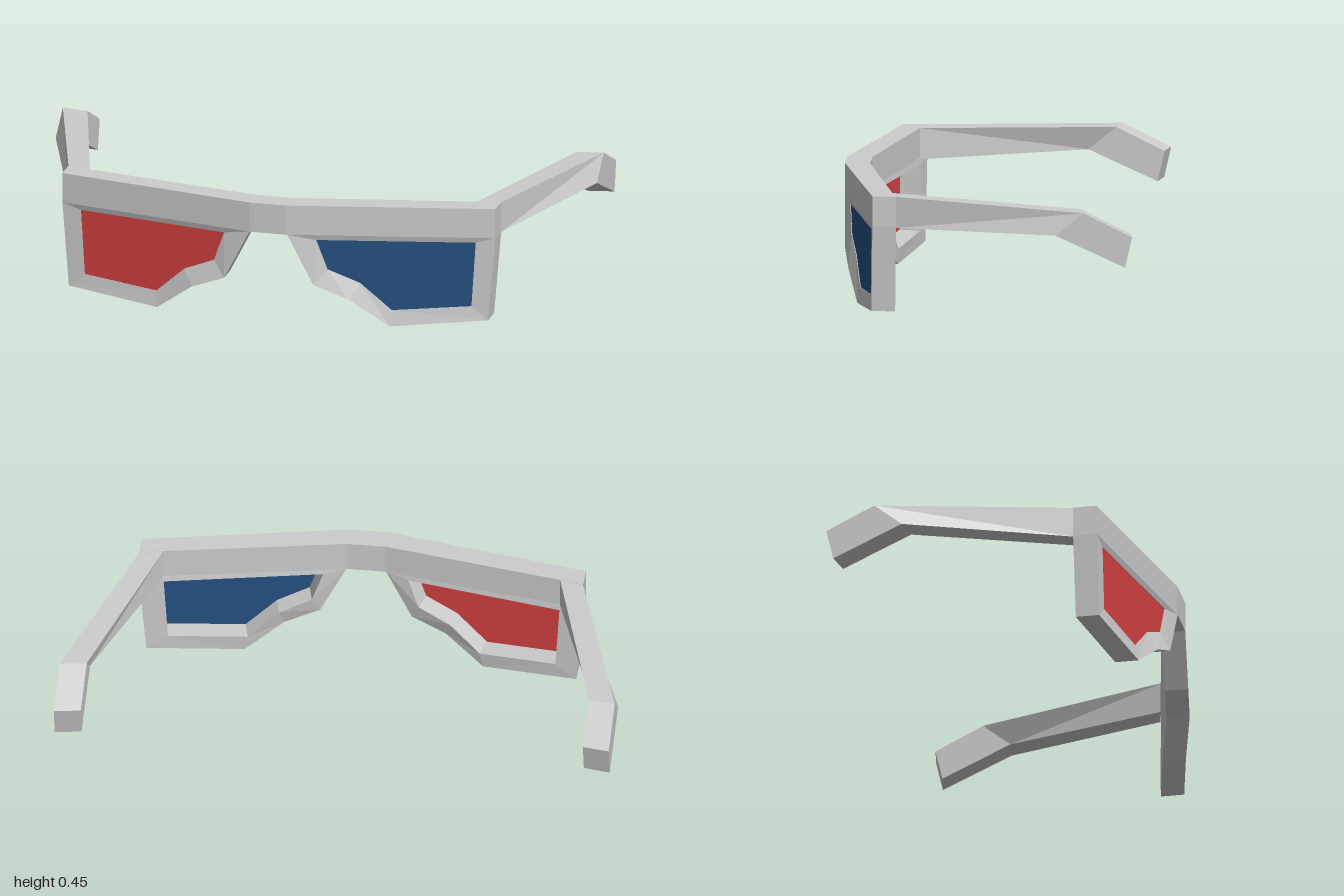
import * as THREE from 'three';

const frameMat = new THREE.MeshStandardMaterial({ color: 0xcccccc });
frameMat.name = 'light grey frame';
const redMat = new THREE.MeshStandardMaterial({ color: 0xd64242 });
redMat.name = 'red lens';
const blueMat = new THREE.MeshStandardMaterial({ color: 0x24507f });
blueMat.name = 'blue lens';
redMat.side = blueMat.side = THREE.DoubleSide;

// z of the swept-back front plane on either side of the bridge
const frontZ = x => 0.545 - (Math.abs(x) - 0.07) * 0.2055;

// Flat-faced loft through closed loops; side = -1 mirrors it to the other half
function loft(rows, side, capped) {
  const pos = [];
  const tri = (a, b, c) => {
    for (const p of side > 0 ? [a, b, c] : [a, c, b]) pos.push(p[0] * side, p[1], p[2]);
  };
  const quad = (a, b, c, d) => { tri(a, b, c); tri(a, c, d); };
  for (let j = 0; j < rows.length - 1; j++) {
    const a = rows[j], b = rows[j + 1], n = a.length;
    for (let i = 0; i < n; i++) quad(a[i], b[i], b[(i + 1) % n], a[(i + 1) % n]);
  }
  if (capped) {
    quad(...rows[0]);
    quad(...[...rows[rows.length - 1]].reverse());
  }
  const g = new THREE.BufferGeometry();
  g.setAttribute('position', new THREE.Float32BufferAttribute(pos, 3));
  g.computeVertexNormals();
  return g;
}

function add(parent, name, geometry, material) {
  const mesh = new THREE.Mesh(geometry, material);
  mesh.name = name;
  parent.add(mesh);
}

// Rim outline (x, y, front z) and lens opening (x, y)
const rimOuter = [
  [0.8, 0.34, 0.395], [0.775, 0.03, 0.4], [0.43, 0.002, 0.475],
  [0.29, 0.105, 0.517], [0.165, 0.155, 0.537], [0.07, 0.34, 0.545],
];
const opening = [
  [0.73, 0.32], [0.715, 0.08], [0.435, 0.06],
  [0.325, 0.16], [0.21, 0.21], [0.17, 0.32],
];

function browBar() {
  const half = [[0.07, 0.545], [0.8, 0.395], [0.8, 0.31], [0.715, 0.33], [0.07, 0.455]];
  const plan = [...half, ...half.map(([x, z]) => [-x, z]).reverse()];
  const shape = new THREE.Shape(plan.map(([x, z]) => new THREE.Vector2(x, -z)));
  const g = new THREE.ExtrudeGeometry(shape, { depth: 0.11, bevelEnabled: false });
  return g.rotateX(-Math.PI / 2).translate(0, 0.34, 0);
}

function rim(side) {
  const innerFront = opening.map(([x, y]) => [x, y, frontZ(x) - 0.006]);
  const innerBack = innerFront.map(([x, y, z]) => [x - 0.017, y, z - 0.078]);
  const outerBack = rimOuter.map(([x, y, z]) => [x, y, z - 0.085]);
  return loft([rimOuter, innerFront, innerBack, outerBack, rimOuter], side, false);
}

function lens(side) {
  const shape = new THREE.Shape(opening.map(([x, y]) => new THREE.Vector2(x * side, y)));
  const g = new THREE.ShapeGeometry(shape);
  const p = g.attributes.position;
  for (let i = 0; i < p.count; i++) p.setZ(i, frontZ(p.getX(i)) - 0.008);
  g.computeVertexNormals();
  return g;
}

function temple(side) {
  // each section: outer top, inner top, inner bottom, outer bottom
  return loft([
    [[0.8, 0.449, 0.31], [0.715, 0.449, 0.33], [0.715, 0.336, 0.33], [0.8, 0.336, 0.31]],
    [[1, 0.43, -0.375], [0.905, 0.43, -0.36], [0.905, 0.348, -0.26], [1, 0.348, -0.275]],
    [[1, 0.345, -0.55], [0.905, 0.345, -0.533], [0.905, 0.235, -0.508], [1, 0.235, -0.525]],
  ], side, true);
}

export function createModel() {
  const model = new THREE.Group();
  model.name = 'glasses';
  add(model, 'browBar', browBar(), frameMat);
  for (const side of [1, -1]) {
    const label = side > 0 ? 'left' : 'right';
    add(model, label + 'Rim', rim(side), frameMat);
    add(model, label + 'Lens', lens(side), side > 0 ? blueMat : redMat);
    add(model, label + 'Temple', temple(side), frameMat);
  }
  return model;
}
